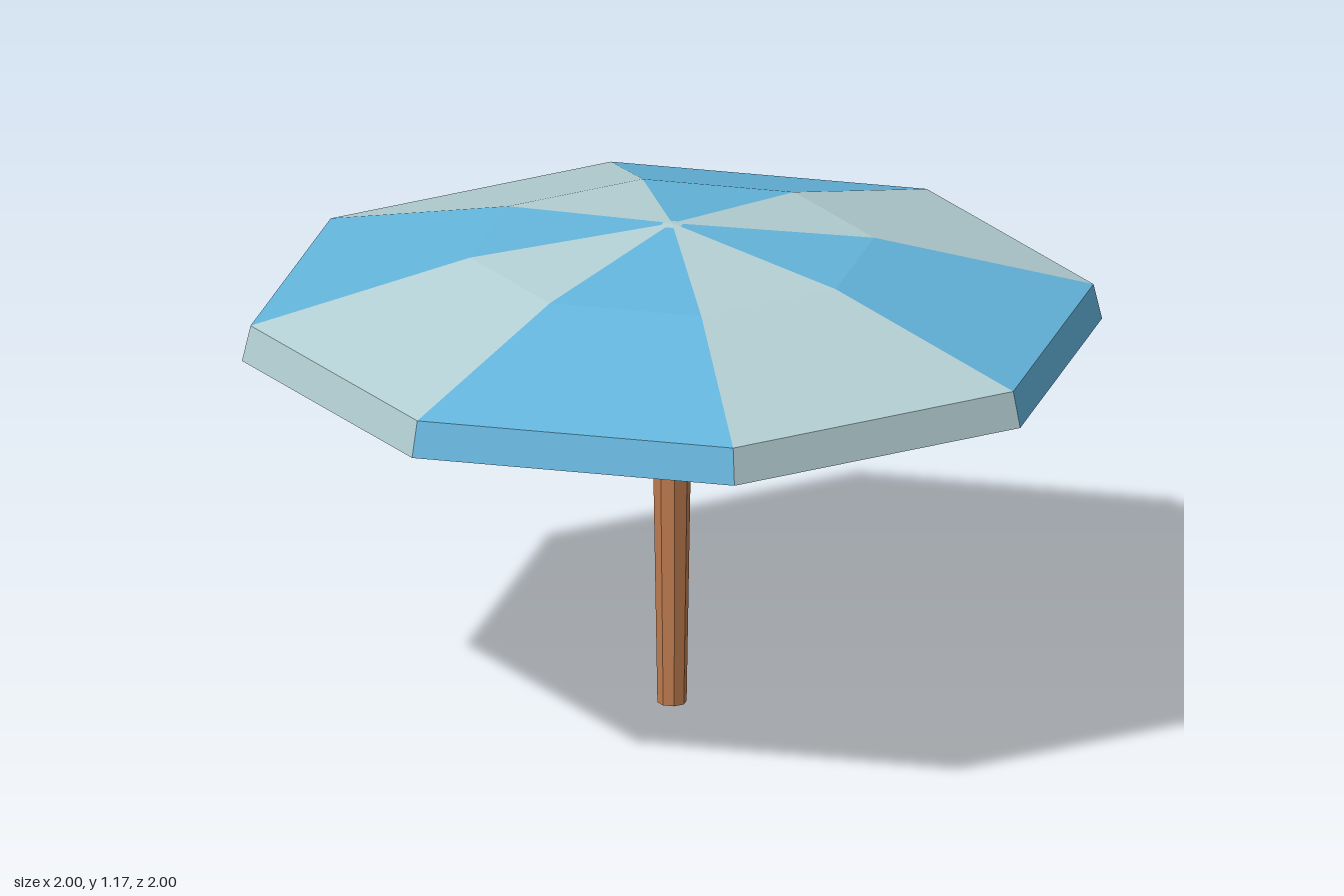
import * as THREE from 'three';

const SIDES = 8;
const STEP = (Math.PI * 2) / SIDES;

// Faceted surface of revolution from [radius, height] pairs
function facetedLathe(points, segments, start = 0, length = Math.PI * 2) {
  const profile = points.map(([r, y]) => new THREE.Vector2(r, y));
  const geometry = new THREE.LatheGeometry(profile, segments, start, length).toNonIndexed();
  geometry.computeVertexNormals();
  return geometry;
}

function addMesh(parent, name, geometry, material) {
  const mesh = new THREE.Mesh(geometry, material);
  mesh.name = name;
  parent.add(mesh);
}

export function createModel() {
  const blue = new THREE.MeshStandardMaterial({ color: 0x64b5dc });
  blue.name = 'blueFabric';
  const pale = new THREE.MeshStandardMaterial({ color: 0xb3cfd3 });
  pale.name = 'paleFabric';
  const wood = new THREE.MeshStandardMaterial({ color: 0xbd7a4e });
  wood.name = 'wood';

  const model = new THREE.Group();
  model.name = 'parasol';

  // Canopy: eight alternating panels, each with underside, lip, valance and top
  const canopy = new THREE.Group();
  canopy.name = 'canopy';
  const panelProfile = [
    [0.025, 1.142], [0.46, 1.086], [0.95, 0.955], [0.967, 0.885],
    [1.0, 0.885], [0.98, 0.97], [0.47, 1.11], [0.025, 1.167],
  ];
  for (let i = 0; i < SIDES; i++) {
    addMesh(canopy, 'canopyPanel', facetedLathe(panelProfile, 1, i * STEP, STEP), i % 2 ? pale : blue);
  }
  model.add(canopy);

  // Small pale hub where the panels meet
  addMesh(model, 'hub', facetedLathe([[0, 1.142], [0.025, 1.142], [0.025, 1.167], [0, 1.17]], SIDES), pale);

  // Pole, narrowing toward the foot
  addMesh(model, 'pole', facetedLathe([[0, 0], [0.034, 0], [0.053, 1.14], [0, 1.14]], SIDES), wood);

  return model;
}
